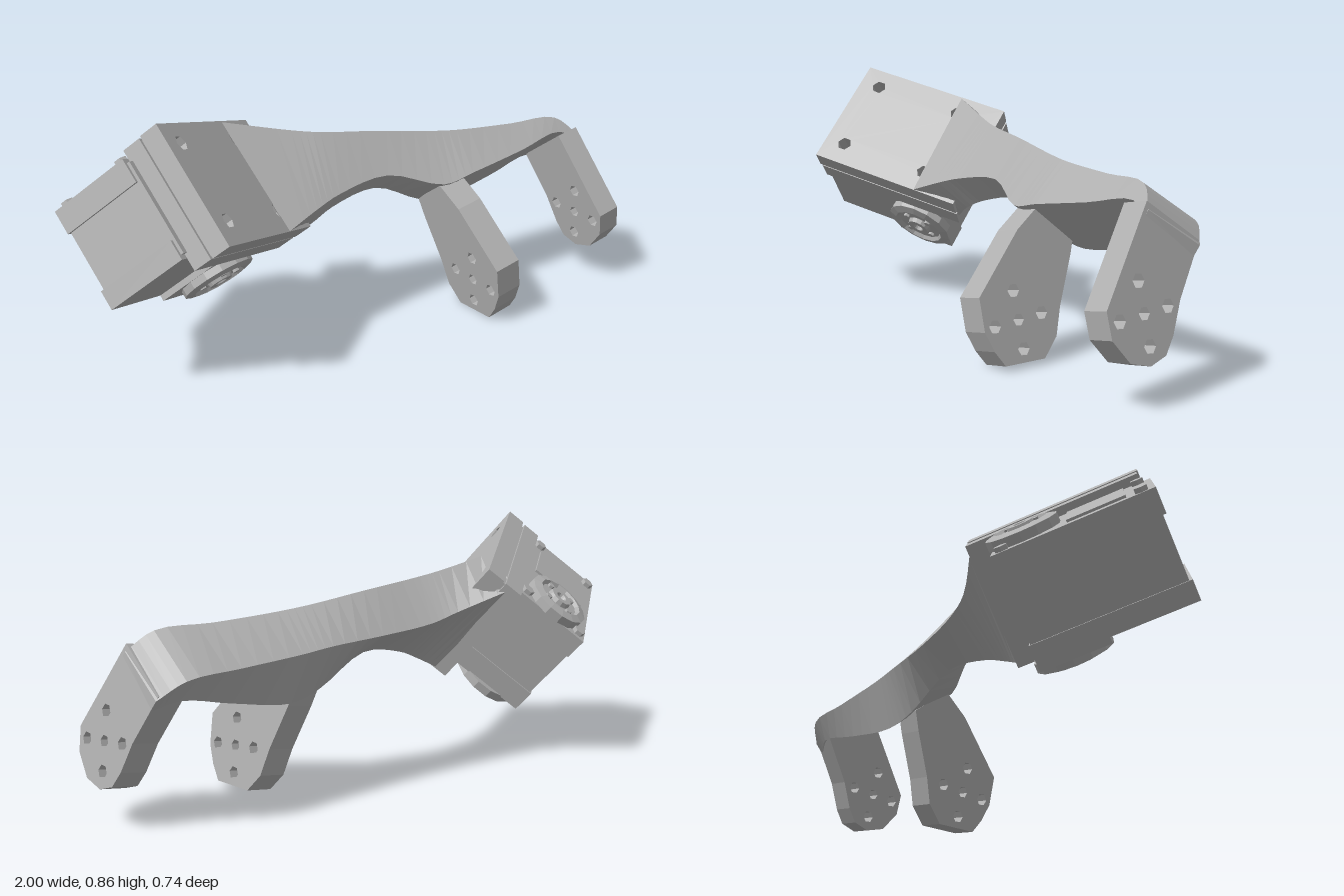
import * as THREE from 'three';

const V = (x, y, z) => new THREE.Vector3(x, y, z);

export function createModel() {
  const model = new THREE.Group();
  model.name = 'forkedServoLink';
  const grey = new THREE.MeshStandardMaterial({ color: 0xb0b0b0 });
  grey.name = 'grey';
  grey.flatShading = true;

  const add = (parent, name, geometry, x = 0, y = 0, z = 0) => {
    const mesh = new THREE.Mesh(geometry, grey);
    mesh.name = name;
    mesh.position.set(x, y, z);
    parent.add(mesh);
    return mesh;
  };
  // Group with its own axes: Z as given, X made square to it
  const framed = (name, origin, xDir, zDir) => {
    const z = zDir.clone().normalize();
    const y = z.clone().cross(xDir).normalize();
    const x = y.clone().cross(z);
    const g = new THREE.Group();
    g.name = name;
    g.quaternion.setFromRotationMatrix(new THREE.Matrix4().makeBasis(x, y, z));
    g.position.copy(origin);
    model.add(g);
    return g;
  };
  const polygon = (pts) => new THREE.Shape(pts.map(([x, y]) => new THREE.Vector2(x, y)));
  const hole = (shape, x, y, r, n = 6) => {
    const pts = [];
    for (let i = 0; i < n; i++) {
      const t = -i / n * Math.PI * 2;
      pts.push(new THREE.Vector2(x + r * Math.cos(t), y + r * Math.sin(t)));
    }
    shape.holes.push(new THREE.Path(pts));
  };

  // Motor end: X along the motor, Y towards the upper horn, Z out of the mounting plate
  const end = framed('motorEnd', V(-0.73, 0.87, 0.11), V(0.757, -0.264, -0.6), V(0.608, 0.625, 0.491));
  const box = (name, x0, x1, y0, y1, z0, z1) =>
    add(end, name, new THREE.BoxGeometry(x1 - x0, y1 - y0, z1 - z0), (x0 + x1) / 2, (y0 + y1) / 2, (z0 + z1) / 2);

  // Mounting plate with four screw holes
  const plate = polygon([[0, -0.42], [0.57, -0.42], [0.57, 0], [0, 0]]);
  for (const x of [0.077, 0.41]) for (const y of [-0.07, -0.34]) hole(plate, x, y, 0.026);
  add(end, 'mountingPlate', new THREE.ExtrudeGeometry(plate, { depth: 0.065, bevelEnabled: false }), 0, 0, -0.065);
  box('plateGroove', 0.015, 0.56, -0.41, -0.01, -0.08, -0.063);
  box('motorBracket', 0.005, 0.57, -0.418, -0.002, -0.14, -0.075);

  // Motor body, lids and stepped bottom
  box('motorBody', -0.015, 0.47, -0.36, -0.045, -0.425, -0.13);
  box('upperLid', -0.025, 0.475, -0.11, -0.03, -0.43, -0.14);
  box('lowerLid', -0.025, 0.475, -0.375, -0.31, -0.43, -0.14);
  box('lowerStep', 0.25, 0.475, -0.395, -0.37, -0.43, -0.14);
  box('upperPanel', 0.06, 0.24, -0.035, -0.022, -0.39, -0.18);

  // Corner screws on the upper lid
  for (const x of [0.015, 0.44]) for (const z of [-0.4, -0.17]) {
    add(end, 'lidScrew', new THREE.CylinderGeometry(0.022, 0.022, 0.02, 6), x, -0.025, z);
  }

  // Output horns: a dished disc with a hub and four screws
  for (const [name, y, flip, r] of [['upperHorn', -0.03, 0, 0.115], ['lowerHorn', -0.39, Math.PI, 0.125]]) {
    const horn = new THREE.Group();
    horn.name = name;
    horn.position.set(0.375, y, -0.285);
    horn.rotation.x = flip;
    end.add(horn);
    const profile = [[0, 0], [r, 0], [r, 0.03], [r - 0.03, 0.038], [r - 0.04, 0.026], [0.045, 0.026],
      [0.04, 0.042], [0.02, 0.042], [0.015, 0.03], [0, 0.03]].map(([a, b]) => new THREE.Vector2(a, b));
    add(horn, 'hornDisc', new THREE.LatheGeometry(profile, 14));
    for (let i = 0; i < 4; i++) {
      const t = (i + 0.5) * Math.PI / 2;
      add(horn, 'hornScrew', new THREE.CylinderGeometry(0.012, 0.012, 0.012, 6),
        Math.cos(t) * 0.062, 0.03, Math.sin(t) * 0.062);
    }
  }

  // Curved link: four corner rails, in order top, front, underside, back; rounded over at the right end
  const rails = [
    [V(-0.43, 0.762, -0.125), V(-0.2, 0.708, -0.09), V(-0.1, 0.69, -0.075), V(0.1, 0.665, -0.065),
      V(0.3, 0.637, -0.05), V(0.42, 0.625, -0.04), V(0.65, 0.614, -0.035), V(0.84, 0.61, -0.025), V(0.915, 0.55, 0.015)],
    [V(-0.32, 0.453, 0.13), V(-0.2, 0.49, 0.09), V(-0.1, 0.515, 0.06), V(0.1, 0.535, 0.03),
      V(0.3, 0.48, 0.075), V(0.42, 0.5, 0.07), V(0.65, 0.535, 0.04), V(0.84, 0.565, 0.01), V(0.92, 0.52, 0.035)],
    [V(-0.25, 0.36, -0.02), V(-0.17, 0.4, -0.01), V(-0.08, 0.435, -0.03), V(0.1, 0.46, -0.06),
      V(0.3, 0.37, -0.09), V(0.42, 0.345, -0.11), V(0.65, 0.385, -0.14), V(0.84, 0.425, -0.165), V(0.92, 0.4, -0.135)],
    [V(-0.37, 0.65, -0.27), V(-0.2, 0.58, -0.19), V(-0.1, 0.55, -0.175), V(0.1, 0.53, -0.165),
      V(0.3, 0.52, -0.168), V(0.42, 0.51, -0.175), V(0.65, 0.5, -0.195), V(0.84, 0.49, -0.21), V(0.915, 0.435, -0.165)],
  ];
  const N = 32;
  const rows = rails.map((pts) => {
    const c = new THREE.CatmullRomCurve3(pts);
    return Array.from({ length: N + 1 }, (_, i) => c.getPoint(i / N));
  });
  const pos = [], idx = [];
  for (let i = 0; i <= N; i++) for (let j = 0; j < 4; j++) pos.push(...rows[j][i].toArray());
  for (let i = 0; i < N; i++) for (let j = 0; j < 4; j++) {
    const k = (j + 1) % 4, a = i * 4 + j, b = i * 4 + k;
    idx.push(a, b, a + 4, b, b + 4, a + 4);
  }
  const e = N * 4;
  idx.push(0, 2, 1, 0, 3, 2, e, e + 1, e + 2, e, e + 2, e + 3);
  let link = new THREE.BufferGeometry();
  link.setAttribute('position', new THREE.Float32BufferAttribute(pos, 3));
  link.setIndex(idx);
  link = link.toNonIndexed();
  link.computeVertexNormals();
  add(model, 'curvedLink', link);

  // Fork: X along the arms, Y across them, Z along the hinge
  const fork = framed('fork', V(0.9, 0.56, -0.11), V(0.214, -0.81, 0.55), V(0.97, 0.18, -0.13));
  const forkArm = (name, z, depth, outline, cx, cy) => {
    const shape = polygon(outline);
    // Hinge hole and four screw holes
    hole(shape, cx, cy, 0.02);
    for (let i = 0; i < 4; i++) {
      const t = i * Math.PI / 2 + 0.7;
      hole(shape, cx + 0.09 * Math.cos(t), cy + 0.09 * Math.sin(t), 0.022);
    }
    add(fork, name, new THREE.ExtrudeGeometry(shape, { depth, bevelEnabled: false }), 0, 0, z);
  };
  forkArm('leftForkArm', -0.095, 0.09, [[0.06, -0.112], [0.39, -0.107], [0.45, -0.055], [0.475, 0.03],
    [0.45, 0.1], [0.4, 0.138], [0.34, 0.138], [0.24, 0.118], [0.06, 0.11]], 0.335, 0.015);
  forkArm('rightForkArm', -0.63, 0.1, [[0.02, -0.08], [0.13, -0.118], [0.378, -0.15], [0.46, -0.084], [0.495, -0.026],
    [0.515, 0.031], [0.43, 0.155], [0.35, 0.165], [0.26, 0.135], [0.1, 0.1], [0.03, 0.08]], 0.37, 0.01);

  return model;
}
